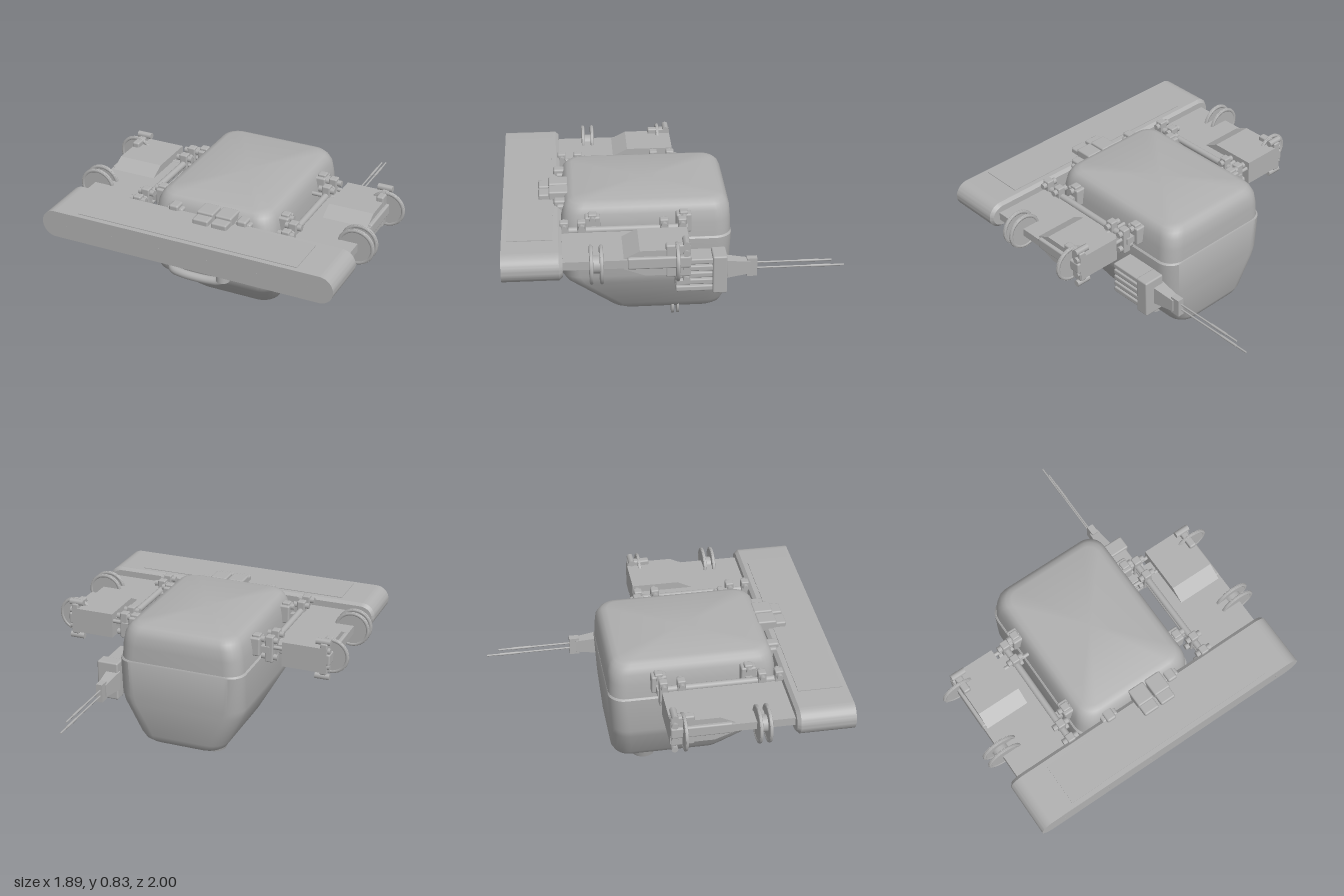
import * as THREE from 'three';
import { toCreasedNormals } from 'three/addons/utils/BufferGeometryUtils.js';
import { RoundedBoxGeometry } from 'three/addons/geometries/RoundedBoxGeometry.js';

const grey = new THREE.MeshStandardMaterial({ color: 0xb0b0b0 });
grey.name = 'plain grey';

export function createModel() {
  const root = new THREE.Group();
  root.name = 'sensorUnit';

  const add = (name, geo, x = 0, y = 0, z = 0) => {
    const m = new THREE.Mesh(geo, grey);
    m.name = name;
    m.position.set(x, y, z);
    root.add(m);
    return m;
  };
  // Box given by its limits, optionally rounded
  const box = (name, x0, x1, y0, y1, z0, z1, r = 0) => {
    const d = [Math.abs(x1 - x0), y1 - y0, z1 - z0];
    const g = r ? new RoundedBoxGeometry(...d, 2, r) : new THREE.BoxGeometry(...d);
    return add(name, g, (x0 + x1) / 2, (y0 + y1) / 2, (z0 + z1) / 2);
  };
  // Cylinder lying along z
  const discZ = (name, r, len, x, y, z, seg = 32) =>
    add(name, new THREE.CylinderGeometry(r, r, len, seg).rotateX(Math.PI / 2), x, y, z);
  const tube = (name, pts, r) => add(name, new THREE.TubeGeometry(
    new THREE.CatmullRomCurve3(pts.map(p => new THREE.Vector3(...p)), false, 'centripetal'), 40, r, 14));

  // Rounded rectangle cross-sections [y, halfWidth, zBack, zFront, radius] joined into a closed skin
  function loft(sections) {
    const pos = [], idx = [], q = 8, n = q * 4;
    for (const [y, hx, z0, z1, r] of sections) {
      for (let c = 0; c < 4; c++) for (let k = 0; k < q; k++) {
        const a = (c + k / (q - 1)) * Math.PI / 2;
        const cx = (c === 0 || c === 3 ? 1 : -1) * (hx - r);
        const cz = c < 2 ? z1 - r : z0 + r;
        pos.push(cx + Math.cos(a) * r, y, cz + Math.sin(a) * r);
      }
    }
    const rows = sections.length;
    for (let j = 0; j < rows - 1; j++) for (let i = 0; i < n; i++) {
      const a = j * n + i, b = j * n + (i + 1) % n;
      idx.push(a, a + n, b, b, a + n, b + n);
    }
    for (const j of [0, rows - 1]) {
      const s = sections[j], centre = pos.length / 3;
      pos.push(0, s[0], (s[2] + s[3]) / 2);
      for (let i = 0; i < n; i++) {
        const a = j * n + i, b = j * n + (i + 1) % n;
        if (j) idx.push(centre, b, a); else idx.push(centre, a, b);
      }
    }
    const g = new THREE.BufferGeometry();
    g.setAttribute('position', new THREE.Float32BufferAttribute(pos, 3));
    g.setIndex(idx);
    return toCreasedNormals(g, 0.6);
  }

  // Housing: tapered lower shell and rounded lid
  add('lowerShell', loft([
    [0.06, 0.21, -0.25, 0.32, 0.08], [0.066, 0.24, -0.275, 0.35, 0.1],
    [0.085, 0.262, -0.295, 0.38, 0.1], [0.12, 0.285, -0.31, 0.42, 0.11],
    [0.32, 0.385, -0.325, 0.64, 0.11], [0.37, 0.398, -0.328, 0.67, 0.11],
    [0.60, 0.398, -0.34, 0.672, 0.1], [0.61, 0.39, -0.335, 0.665, 0.1]]));
  add('lid', loft([
    [0.605, 0.388, -0.335, 0.665, 0.1], [0.70, 0.382, -0.333, 0.662, 0.1],
    [0.765, 0.37, -0.328, 0.65, 0.1], [0.80, 0.355, -0.312, 0.635, 0.1],
    [0.82, 0.335, -0.292, 0.615, 0.09], [0.83, 0.305, -0.262, 0.585, 0.07]]));

  // Pill-ended bumper, its rear edge drawn in
  const pill = new THREE.Shape();
  pill.absarc(0.8225, 0, 0.0825, -Math.PI / 2, Math.PI / 2);
  pill.absarc(-0.8225, 0, 0.0825, Math.PI / 2, Math.PI * 1.5);
  const barGeo = new THREE.ExtrudeGeometry(pill, { depth: 0.34, steps: 17, bevelEnabled: false, curveSegments: 16 });
  const bp = barGeo.attributes.position;
  for (let i = 0; i < bp.count; i++) {
    if (bp.getZ(i) < 0.01) bp.setXY(i, bp.getX(i) * 0.985, bp.getY(i) * 0.8);
  }
  add('bumper', toCreasedNormals(barGeo, 0.5), 0, 0.6875, 0.66);
  box('bumperTopPanel', -0.68, 0.68, 0.768, 0.774, 0.71, 0.97);
  box('bumperBottomPanel', -0.68, 0.68, 0.601, 0.607, 0.71, 0.97);
  for (let i = 0; i < 6; i++) discZ('bumperSensor', 0.006, 0.004, -0.75 + i * 0.3, 0.69, 0.999, 10);

  // Bracket joining bumper to housing
  for (const x of [-0.05, 0.065]) {
    box('bumperClip', x, x + 0.105, 0.75, 0.822, 0.615, 0.73, 0.01);
    box('bumperClipTip', x + 0.004, x + 0.101, 0.74, 0.805, 0.72, 0.79, 0.01);
  }
  box('lowerBracket', -0.05, 0.135, 0.57, 0.63, 0.66, 0.78, 0.01);
  for (let i = 0; i < 4; i++) box('lowerBracketRib', -0.035 + i * 0.045, -0.01 + i * 0.045, 0.555, 0.6, 0.68, 0.76);

  // Front pipe with flange and vertical nozzle
  tube('frontPipe', [[-0.18, 0.48, 0.64], [-0.18, 0.48, 0.76], [-0.15, 0.478, 0.84], [-0.08, 0.478, 0.865],
    [0.1, 0.478, 0.865], [0.16, 0.49, 0.865], [0.182, 0.53, 0.865], [0.182, 0.57, 0.865]], 0.025);
  discZ('pipeFlange', 0.042, 0.05, -0.18, 0.48, 0.68);
  add('pipeNozzle', new THREE.CylinderGeometry(0.04, 0.04, 0.12, 24), 0.182, 0.56, 0.865);

  // Clamp: upright block with a bolt head on each side
  const clamp = (name, x, y, z, h) => {
    box(name, x - 0.025, x + 0.025, y - h / 2, y + h / 2, z - 0.025, z + 0.025, 0.008);
    for (const dy of [-1, 1]) {
      const bolt = add(name + 'Bolt', new THREE.CylinderGeometry(0.019, 0.019, 0.1, 8), x, y + dy * (h / 2 - 0.03), z);
      bolt.rotation.z = Math.PI / 2;
    }
  };

  // Mirrored side pods
  const podSide = new THREE.Shape([[0.055, -0.085], [0.055, 0.07], [-0.23, 0.07], [-0.32, 0.025], [-0.32, -0.04], [-0.2, -0.085]]
    .map(p => new THREE.Vector2(...p)));
  for (const s of [-1, 1]) {
    box('podPlate', s * 0.49, s * 0.845, 0.665, 0.715, 0, 0.67);
    const pod = add('podBox', new THREE.ExtrudeGeometry(podSide, { depth: 0.275, bevelEnabled: false }),
      s * 0.69 - 0.1375, 0.69, 0);
    pod.rotation.y = Math.PI / 2;
    box('podEdge', s * 0.8, s * 0.848, 0.655, 0.725, -0.055, 0.3, 0.01);

    // Thin wheels
    for (const z of [0.445, 0.502, 0.022]) {
      discZ('wheel', 0.11, 0.014, s * 0.832, 0.69, z, 40);
      const rim = add('wheelRim', new THREE.TorusGeometry(0.1, 0.012, 8, 40), s * 0.832, 0.69, z);
      rim.scale.z = 0.9;
    }
    discZ('wheelHub', 0.05, 0.07, s * 0.832, 0.69, 0.473);

    // Wheel clamp at the back of the pod
    box('wheelClamp', s * 0.785, s * 0.83, 0.59, 0.79, -0.055, 0.085, 0.01);
    for (const y of [0.575, 0.64, 0.74, 0.795]) {
      const b = add('wheelClampBolt', new THREE.CylinderGeometry(0.02, 0.02, 0.09, 8), s * 0.8, y, -0.03);
      b.rotation.z = Math.PI / 2;
    }

    // Guide rods and clamps
    discZ('guideRod', 0.02, 0.7, s * 0.472, 0.72, 0.31, 16);
    discZ('lowerGuideRod', 0.014, 0.7, s * 0.472, 0.66, 0.31, 16);
    for (const z of [-0.035, 0.07, 0.545, 0.645]) clamp('rodClamp', s * 0.472, 0.7, z, 0.165);
    for (const z of [-0.035, 0.07]) {
      const r = add('crossRod', new THREE.CylinderGeometry(0.012, 0.012, 0.2, 12), s * 0.47, 0.71, z);
      r.rotation.z = Math.PI / 2;
    }

    // Brackets on the housing
    for (const z of [-0.05, 0.48]) {
      box('sideBracket', s * 0.355, s * 0.425, 0.66, 0.775, z - 0.045, z + 0.045, 0.01);
      clamp('sideBracketClamp', s * 0.395, 0.73, z, 0.12);
      box('sideBracketArm', s * 0.4, s * 0.48, 0.68, 0.72, z - 0.02, z + 0.02);
    }
    // Front bolts
    box('frontBracket', s * 0.215 - 0.03, s * 0.215 + 0.03, 0.68, 0.8, 0.62, 0.7, 0.012);
    box('frontBracketHead', s * 0.215 - 0.052, s * 0.215 + 0.052, 0.72, 0.78, 0.635, 0.685, 0.012);
  }

  // Ribbed gripper housing on the left side
  box('toolMount', 0.37, 0.50, 0.36, 0.51, -0.22, -0.02);
  for (let i = 0; i < 5; i++) box('toolRib', 0.38, 0.53, 0.323 + i * 0.044, 0.357 + i * 0.044, -0.22, 0.005, 0.008);
  box('toolPlate', 0.41, 0.545, 0.31, 0.552, -0.295, -0.21, 0.01);
  const neck = add('toolNeck', new THREE.CylinderGeometry(0.055, 0.085, 0.17, 4, 1).rotateY(Math.PI / 4).rotateX(-Math.PI / 2), 0.445, 0.435, -0.355);
  neck.scale.x = 0.7;
  neck.geometry = toCreasedNormals(neck.geometry, 0.3);
  box('toolTip', 0.425, 0.465, 0.375, 0.49, -0.48, -0.42);

  // Two long prongs
  for (const [y, end] of [[0.452, -0.925], [0.416, -1]]) {
    discZ('prong', 0.0055, -0.45 - end, 0.44, y, (end - 0.45) / 2, 8);
    discZ('prongSleeve', 0.008, 0.12, 0.44, y, end + 0.14, 8);
  }

  // Underside foot and paired thin discs
  add('foot', new THREE.CylinderGeometry(0.092, 0.075, 0.055, 32), -0.148, 0.045, -0.108);
  add('footPad', new THREE.CylinderGeometry(0.06, 0.06, 0.01, 32), -0.148, 0.017, -0.108);
  for (const z of [0.002, -0.03]) discZ('bottomDisc', 0.066, 0.014, 0.2, 0.066, z);

  return root;
}
